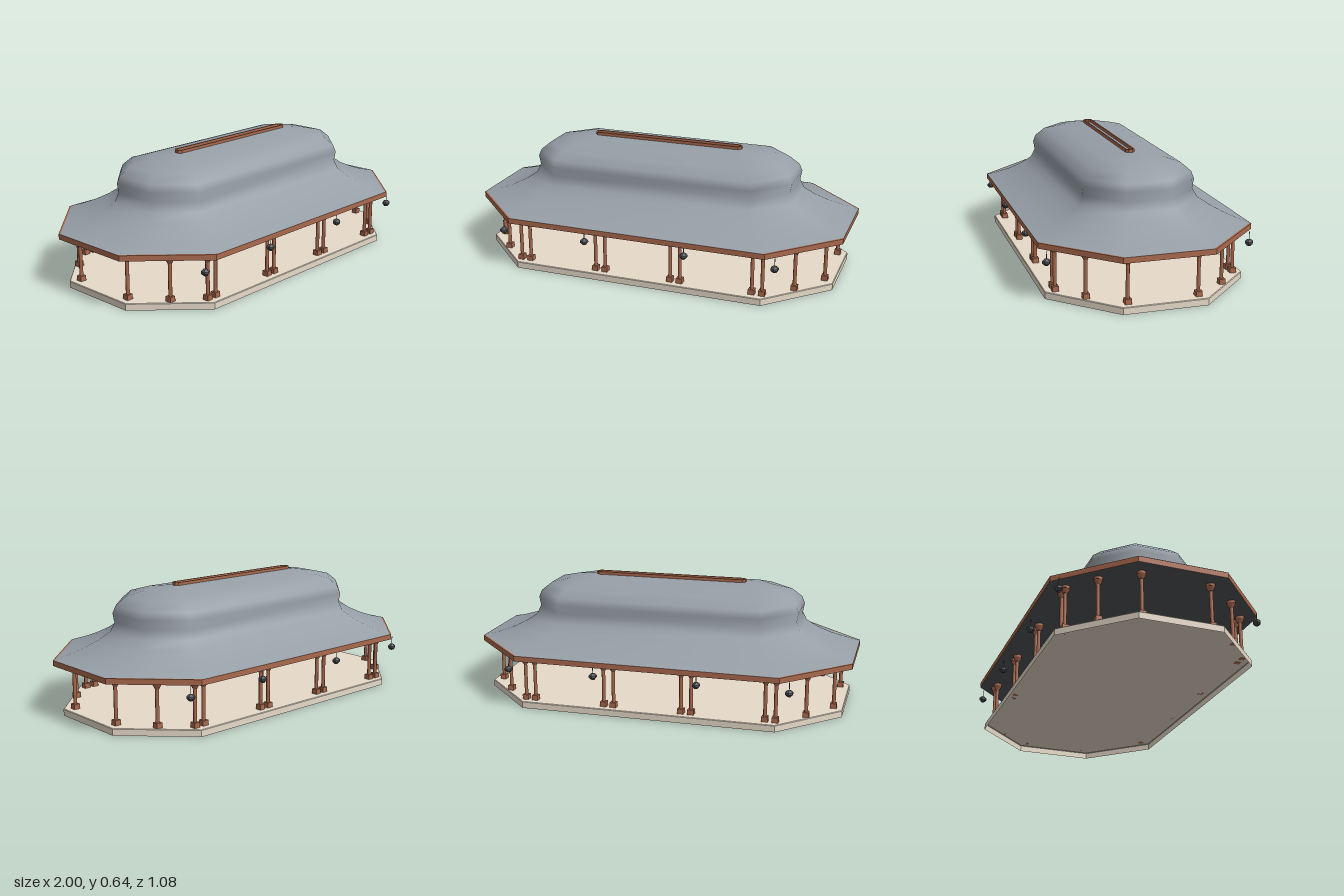
import * as THREE from 'three';

const material = (name, color, side = THREE.FrontSide) => {
  const m = new THREE.MeshStandardMaterial({ color, side });
  m.name = name;
  return m;
};

// Stretched octagon outline, going from +x round through +z
function octagon(hx, hz, cut = hz * 0.586) {
  const x = hx - cut, z = hz - cut;
  return [[hx, -z], [hx, z], [x, hz], [-x, hz], [-hx, z], [-hx, -z], [-x, -hz], [x, -hz]];
}

// Shell through octagonal rings [halfX, halfZ, y, cut], bottom to top, open below and closed above
function loft(rings, smooth = false) {
  const pos = [], idx = [];
  rings.forEach(([hx, hz, y, cut]) => octagon(hx, hz, cut).forEach(([x, z]) => pos.push(x, y, z)));
  for (let r = 0; r < rings.length - 1; r++) {
    for (let i = 0; i < 8; i++) {
      const a = r * 8 + i, b = r * 8 + (i + 1) % 8;
      idx.push(a, a + 8, b, b, a + 8, b + 8);
    }
  }
  const last = (rings.length - 1) * 8;
  for (let i = 1; i < 7; i++) idx.push(last, last + i + 1, last + i);
  let g = new THREE.BufferGeometry();
  g.setAttribute('position', new THREE.Float32BufferAttribute(pos, 3));
  g.setIndex(idx);
  if (!smooth) g = g.toNonIndexed();
  g.computeVertexNormals();
  return g;
}

// Upright octagonal frame, open in the middle
function frame(hx, hz, wall, height) {
  const toPoints = (o) => o.map(([x, z]) => new THREE.Vector2(x, z));
  const shape = new THREE.Shape(toPoints(octagon(hx, hz)));
  shape.holes.push(new THREE.Path(toPoints(octagon(hx - wall, hz - wall))));
  const g = new THREE.ExtrudeGeometry(shape, { depth: height, bevelEnabled: false });
  return g.rotateX(-Math.PI / 2);
}

export function createModel() {
  const model = new THREE.Group();
  model.name = 'pavilion';

  const stone = material('stone', 0xe6dac9, THREE.DoubleSide);
  const wood = material('wood', 0xa9694e);
  const slate = material('slate', 0x979fa7, THREE.DoubleSide);
  const charcoal = material('charcoal', 0x4f5458, THREE.DoubleSide);

  const add = (parent, name, geometry, mat, y = 0) => {
    const mesh = new THREE.Mesh(geometry, mat);
    mesh.name = name;
    mesh.position.y = y;
    parent.add(mesh);
    return mesh;
  };

  // Floor platform, hollow underneath, with a slight top bevel
  add(model, 'floorPlatform', loft([[0.958, 0.506, 0], [0.958, 0.506, 0.032], [0.955, 0.503, 0.035]]), stone);

  // Eaves board and dark ceiling
  add(model, 'eavesBoard', frame(1, 0.54, 0.02, 0.028), wood, 0.262);
  add(model, 'ceiling', loft([[0.998, 0.538, 0.2615]]), charcoal);

  // Bell-shaped roof: flared skirt, narrow waist and rounded crown; its slanted eaves sit just inside the board
  add(model, 'roof', loft([
    [1, 0.54, 0.291, 0.329], [0.925, 0.485, 0.31], [0.85, 0.425, 0.336], [0.775, 0.36, 0.372],
    [0.72, 0.305, 0.41], [0.7, 0.281, 0.455], [0.708, 0.288, 0.503], [0.693, 0.275, 0.54],
    [0.643, 0.229, 0.582], [0.543, 0.152, 0.607], [0.41, 0.022, 0.625],
  ], true), slate);

  // Open ridge frame
  add(model, 'ridgeFrame', frame(0.41, 0.024, 0.008, 0.022), wood, 0.618);

  // Columns: square foot, octagonal shaft, flared capital
  const footGeo = new THREE.BoxGeometry(0.032, 0.026, 0.032);
  const shaftGeo = new THREE.CylinderGeometry(0.0095, 0.0095, 0.2, 8);
  const flareGeo = new THREE.CylinderGeometry(0.023, 0.011, 0.024, 8);
  const plateGeo = new THREE.CylinderGeometry(0.023, 0.023, 0.012, 8);
  const addColumn = (x, z) => {
    const column = new THREE.Group();
    column.name = 'column';
    column.position.set(x, 0, z);
    add(column, 'columnFoot', footGeo, wood, 0.048);
    add(column, 'columnShaft', shaftGeo, wood, 0.14);
    add(column, 'columnFlare', flareGeo, wood, 0.238);
    add(column, 'columnPlate', plateGeo, wood, 0.255);
    model.add(column);
  };

  // Six-sided lanterns hanging on cords under the long eaves
  const cordGeo = new THREE.CylinderGeometry(0.002, 0.002, 0.045, 6);
  const profile = [[0, -0.018], [0.01, -0.017], [0.021, -0.005], [0.021, 0.005], [0.011, 0.014], [0, 0.016]];
  const bodyGeo = new THREE.LatheGeometry(profile.map(([r, y]) => new THREE.Vector2(r, y)), 6).toNonIndexed();
  bodyGeo.computeVertexNormals();
  const addLantern = (x, z) => {
    const lantern = new THREE.Group();
    lantern.name = 'lantern';
    lantern.position.set(x, 0, z);
    add(lantern, 'lanternCord', cordGeo, charcoal, 0.242);
    add(lantern, 'lanternBody', bodyGeo, charcoal, 0.209);
    model.add(lantern);
  };

  // Mirror every position to all four quarters
  for (const sx of [-1, 1]) {
    for (const sz of [-1, 1]) {
      for (const x of [0.178, 0.23, 0.605, 0.657]) addColumn(sx * x, sz * 0.456);
      addColumn(sx * 0.792, sz * 0.341);
      addColumn(sx * 0.911, sz * 0.174);
      for (const x of [0.268, 0.728]) addLantern(sx * x, sz * 0.511);
    }
  }
  return model;
}
